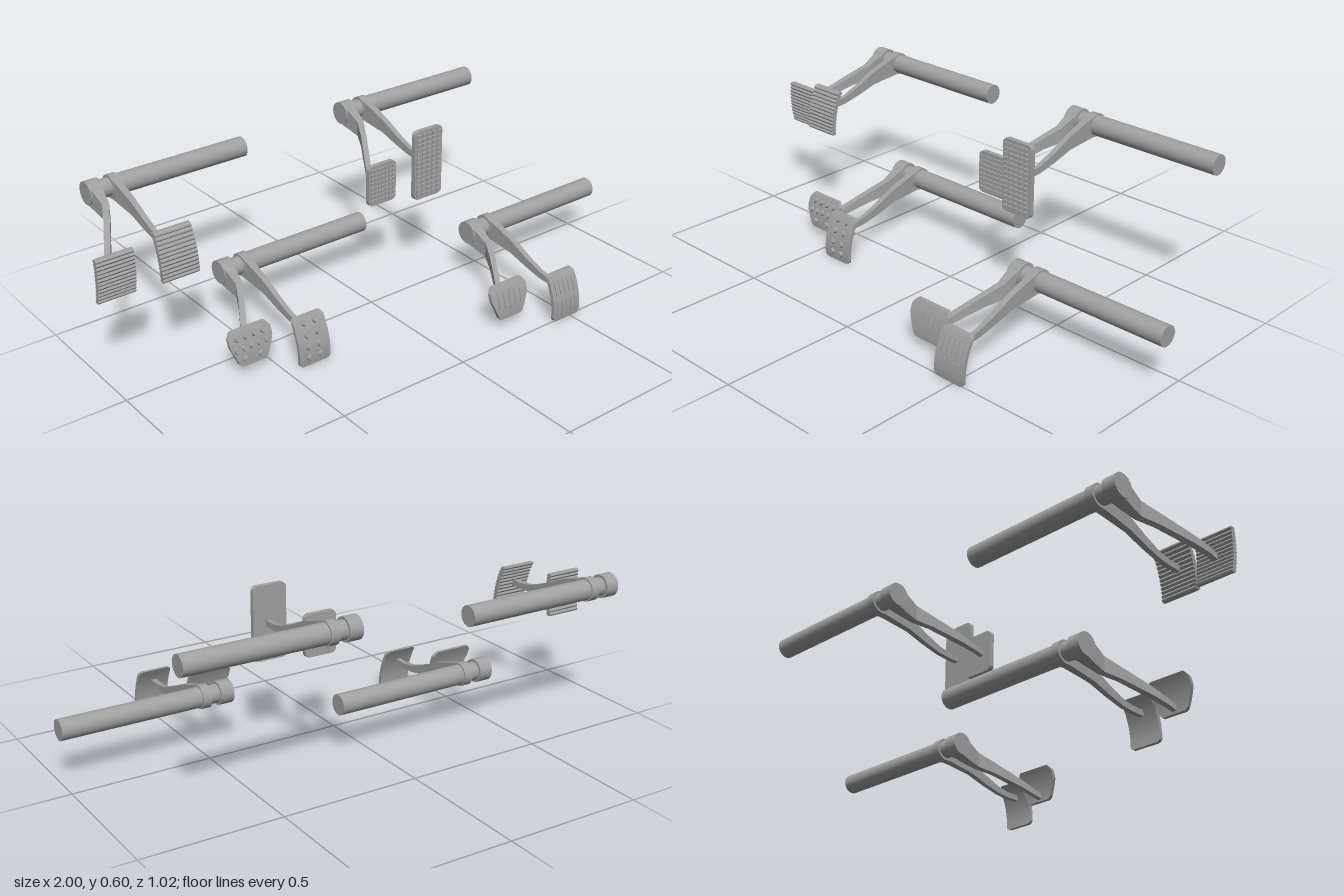
import * as THREE from 'three';
import { toCreasedNormals } from 'three/addons/utils/BufferGeometryUtils.js';

const steel = new THREE.MeshStandardMaterial({ color: 0xa0a0a0 });
steel.name = 'grey steel';

function add(parent, name, geometry, x = 0, y = 0, z = 0) {
  const mesh = new THREE.Mesh(geometry, steel);
  mesh.name = name;
  mesh.position.set(x, y, z);
  parent.add(mesh);
  return mesh;
}

// Skin a list of four-cornered cross-sections and cap both ends
function loft(sections) {
  const position = [], index = [];
  sections.forEach(s => s.forEach(p => position.push(...p)));
  const last = (sections.length - 1) * 4;
  for (let i = 0; i < last; i += 4) {
    for (let k = 0; k < 4; k++) {
      const a = i + k, b = i + (k + 1) % 4;
      index.push(a, b, b + 4, a, b + 4, a + 4);
    }
  }
  index.push(0, 2, 1, 0, 3, 2, last, last + 1, last + 2, last, last + 2, last + 3);
  const g = new THREE.BufferGeometry();
  g.setAttribute('position', new THREE.Float32BufferAttribute(position, 3));
  g.setIndex(index);
  return toCreasedNormals(g, 0.5);
}

// Arm sections: x, y, z of the centre, half width, half height
const arm = rows => loft(rows.map(([x, y, z, w, h]) =>
  [[x - w, y - h, z], [x + w, y - h, z], [x + w, y + h, z], [x - w, y + h, z]]));

// Smooth curve z(y) through three [z, y] points
const bend = (a, b, c) => y =>
  a[0] * (y - b[1]) * (y - c[1]) / ((a[1] - b[1]) * (a[1] - c[1])) +
  b[0] * (y - a[1]) * (y - c[1]) / ((b[1] - a[1]) * (b[1] - c[1])) +
  c[0] * (y - a[1]) * (y - b[1]) / ((c[1] - a[1]) * (c[1] - b[1]));

// Half width with rounded corners
const rounded = (hw, lo, hi, r) => y => {
  const d = Math.max(0, r - Math.min(y - lo, hi - y));
  return hw - r + Math.sqrt(Math.max(0, r * r - d * d));
};

// Half width of the shield shape, wide above and tapered below
const shield = (lo, hi) => y => {
  const t = (y - lo) / (hi - lo);
  if (t < 0.08) return 0.046 + t * 0.12;
  if (t < 0.62) return 0.0556 + (t - 0.08) * 0.0507;
  return t < 0.85 ? 0.083 : 0.083 - (t - 0.85) * 0.1;
};

// Bent plate: half width and depth are functions of height
function plate(lo, hi, width, depth, thick, ribs = 0) {
  const rows = [], n = ribs ? ribs * 4 : 28;
  for (let i = 0; i <= n; i++) {
    const t = ribs ? i / n : 0.5 - 0.5 * Math.cos(Math.PI * i / n);
    const y = lo + (hi - lo) * t, w = width(y), z = depth(y);
    const h = thick / 2 + (ribs ? 0.005 * Math.abs(Math.sin(Math.PI * ribs * t)) : 0);
    rows.push([[-w, y, z + h], [w, y, z + h], [w, y, z - h], [-w, y, z - h]]);
  }
  return loft(rows);
}

// Hubs, shaft and the two arms, with the shaft axis as origin
function makeMechanism(set) {
  const rod = (name, r, x0, x1) => {
    const g = new THREE.CylinderGeometry(r, r, x1 - x0, 40).rotateZ(Math.PI / 2);
    add(set, name, g, (x0 + x1) / 2, 0, 0);
  };
  rod('outerHub', 0.042, -0.025, 0.025);
  rod('hubSpacer', 0.033, 0.02, 0.1);
  rod('innerHub', 0.042, 0.061, 0.093);
  rod('shaft', 0.0365, 0.092, 0.598);
  add(set, 'innerArm', arm([
    [0.077, 0.001, 0, 0.015, 0.04], [0.077, -0.006, 0.04, 0.014, 0.036],
    [0.077, -0.028, 0.14, 0.011, 0.025], [0.077, -0.058, 0.22, 0.01, 0.018],
    [0.077, -0.079, 0.29, 0.009, 0.013], [0.077, -0.085, 0.34, 0.009, 0.011],
    [0.077, -0.084, 0.398, 0.009, 0.011]]));
  add(set, 'outerArm', arm([
    [0, 0, 0, 0.024, 0.04], [0, -0.014, 0.04, 0.019, 0.036],
    [-0.002, -0.034, 0.095, 0.013, 0.028], [-0.03, -0.056, 0.15, 0.012, 0.021],
    [-0.085, -0.108, 0.245, 0.012, 0.014], [-0.11, -0.135, 0.288, 0.01, 0.011],
    [-0.112, -0.144, 0.328, 0.009, 0.011]]));
}

const innerBend = bend([0.376, -0.03], [0.412, -0.114], [0.418, -0.192]);
const outerBend = bend([0.302, -0.043], [0.323, -0.098], [0.332, -0.162]);

// Smooth bent pads shared by the studded and barred sets
function bentPads(set) {
  add(set, 'innerPad', plate(-0.195, -0.028, rounded(0.062, -0.195, -0.028, 0.015), innerBend, 0.014), 0.079);
  add(set, 'outerPad', plate(-0.163, -0.04, shield(-0.163, -0.04), outerBend, 0.014), -0.108);
}

function corrugatedPads(set) {
  const a = bend([0.37, -0.008], [0.402, -0.092], [0.41, -0.174]);
  const b = bend([0.334, -0.057], [0.338, -0.14], [0.325, -0.221]);
  add(set, 'innerPad', plate(-0.173, -0.008, () => 0.068, a, 0.012, 12), 0.083);
  add(set, 'outerPad', plate(-0.22, -0.057, () => 0.068, b, 0.012, 12), -0.109);
}

function blockPads(set) {
  const build = (name, x, hw, lo, hi, back, cols, rows) => {
    add(set, name, plate(lo, hi, rounded(hw, lo, hi, 0.018), () => back + 0.009, 0.018), x);
    const dx = (hw * 2 - 0.012) / cols, dy = (hi - lo - 0.02) / rows;
    const block = new THREE.BoxGeometry(dx * 0.74, dy * 0.74, 0.009);
    for (let i = 0; i < cols; i++) for (let j = 0; j < rows; j++) {
      add(set, name + 'Block', block, x + (i + 0.5 - cols / 2) * dx, lo + 0.01 + (j + 0.5) * dy, back + 0.021);
    }
  };
  build('innerPad', 0.07, 0.063, -0.218, 0.049, 0.381, 5, 14);
  build('outerPad', -0.093, 0.061, -0.217, -0.062, 0.323, 7, 8);
}

function studdedPads(set) {
  bentPads(set);
  const studShape = new THREE.CylinderGeometry(0.009, 0.012, 0.012, 16).rotateX(Math.PI / 2);
  const stud = (x, y, depth) => {
    const slope = (depth(y + 0.005) - depth(y - 0.005)) / 0.01;
    add(set, 'stud', studShape, x, y, depth(y) + 0.011).rotation.x = Math.atan(slope);
  };
  for (const y of [-0.046, -0.084, -0.126, -0.164]) {
    for (const s of [-1, 1]) stud(0.079 + s * 0.022, y, innerBend);
  }
  const rows = [[-0.062, [-0.05, -0.017, 0.017, 0.05]], [-0.098, [-0.06, -0.03, 0, 0.03, 0.06]], [-0.136, [-0.03, 0.03]]];
  rows.forEach(([y, xs]) => xs.forEach(x => stud(x - 0.108, y, outerBend)));
}

function barredPads(set) {
  bentPads(set);
  const bar = (x, lo, hi, depth) =>
    add(set, 'gripBar', plate(lo, hi, rounded(0.004, lo, hi, 0.004), y => depth(y) + 0.008, 0.005), x);
  for (let i = -2; i <= 2; i++) {
    bar(0.079 + i * 0.021, -0.102, -0.045, innerBend);
    bar(0.079 + i * 0.021, -0.178, -0.118, innerBend);
    bar(-0.108 + i * 0.025, -0.135 + Math.abs(i) * 0.008, -0.06, outerBend);
  }
}

export function createModel() {
  const model = new THREE.Group();
  model.name = 'pedalSets';
  // Shaft axis position and pad style of each set
  const sets = [
    ['corrugatedPedals', -0.823, 0.516, -0.465, corrugatedPads],
    ['blockPedals', 0.211, 0.549, -0.427, blockPads],
    ['studdedPedals', -0.47, 0.196, -0.229, studdedPads],
    ['barredPedals', 0.402, 0.196, 0.081, barredPads],
  ];
  for (const [name, x, y, z, pads] of sets) {
    const set = new THREE.Group();
    set.name = name;
    set.position.set(x, y, z);
    makeMechanism(set);
    pads(set);
    model.add(set);
  }
  return model;
}
